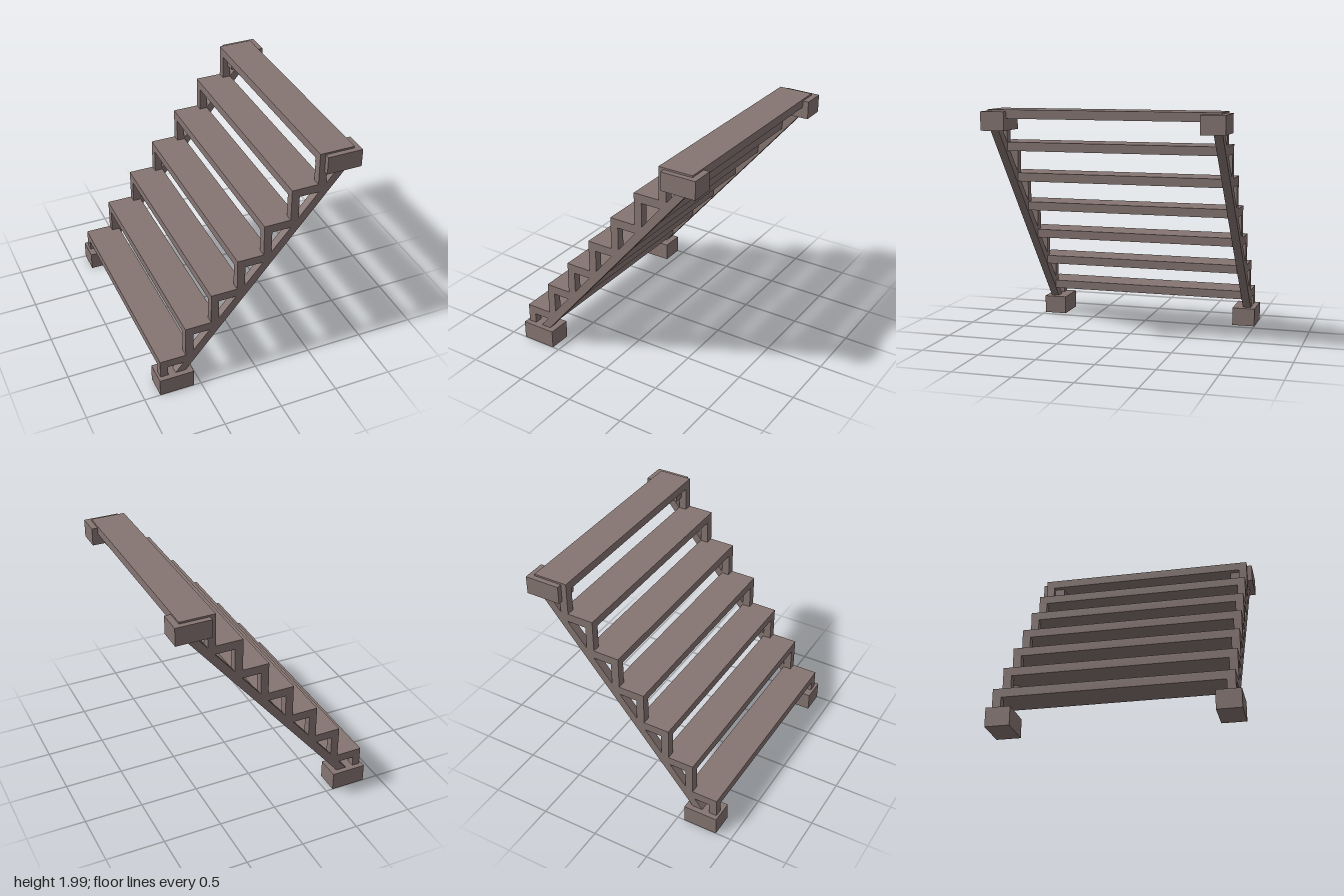
import * as THREE from 'three';

export function createModel() {
  const model = new THREE.Group();
  model.name = 'staircase';
  const wood = new THREE.MeshStandardMaterial({ color: 0x857572, flatShading: true });

  // Box given by its minimum and maximum corners
  function addBox(name, x0, x1, y0, y1, z0, z1) {
    const mesh = new THREE.Mesh(new THREE.BoxGeometry(x1 - x0, y1 - y0, z1 - z0), wood);
    mesh.position.set((x0 + x1) / 2, (y0 + y1) / 2, (z0 + z1) / 2);
    mesh.name = name;
    model.add(mesh);
  }

  const steps = 7, run = 0.2253, rise = 0.2777;
  const startX = -0.84, firstTop = 0.319;
  const depth = 0.295, thick = 0.073, postWidth = 0.068;
  const outer = 0.956, inner = 0.886;

  // Treads, each resting on a post at either end
  for (let i = 0; i < steps; i++) {
    const x = startX + i * run, top = firstTop + i * rise;
    addBox('tread', x, x + depth, top - thick, top, -outer, outer);
    const foot = i === 0 ? 0.1 : top - rise;
    addBox('leftPost', x, x + postWidth, foot, top - thick, inner, outer);
    addBox('rightPost', x, x + postWidth, foot, top - thick, -outer, -inner);
  }

  // Sloping stringers, with their ends sunk into the blocks
  const profile = new THREE.Shape([
    new THREE.Vector2(-0.657, 0.11),
    new THREE.Vector2(0.806, 1.87),
    new THREE.Vector2(0.718, 1.87),
    new THREE.Vector2(-0.747, 0.11),
  ]);
  const stringerGeometry = new THREE.ExtrudeGeometry(profile, { depth: outer - inner, bevelEnabled: false });
  for (const [name, z] of [['rightStringer', -outer], ['leftStringer', inner]]) {
    const stringer = new THREE.Mesh(stringerGeometry, wood);
    stringer.position.z = z;
    stringer.name = name;
    model.add(stringer);
  }

  // Support blocks at the bottom and top of each stringer
  for (const [z0, z1] of [[-1, -0.8], [0.8, 1]]) {
    addBox('bottomBlock', -0.862, -0.562, 0, 0.158, z0, z1);
    addBox('topBlock', 0.558, 0.858, 1.816, 1.97, z0, z1);
  }

  return model;
}
